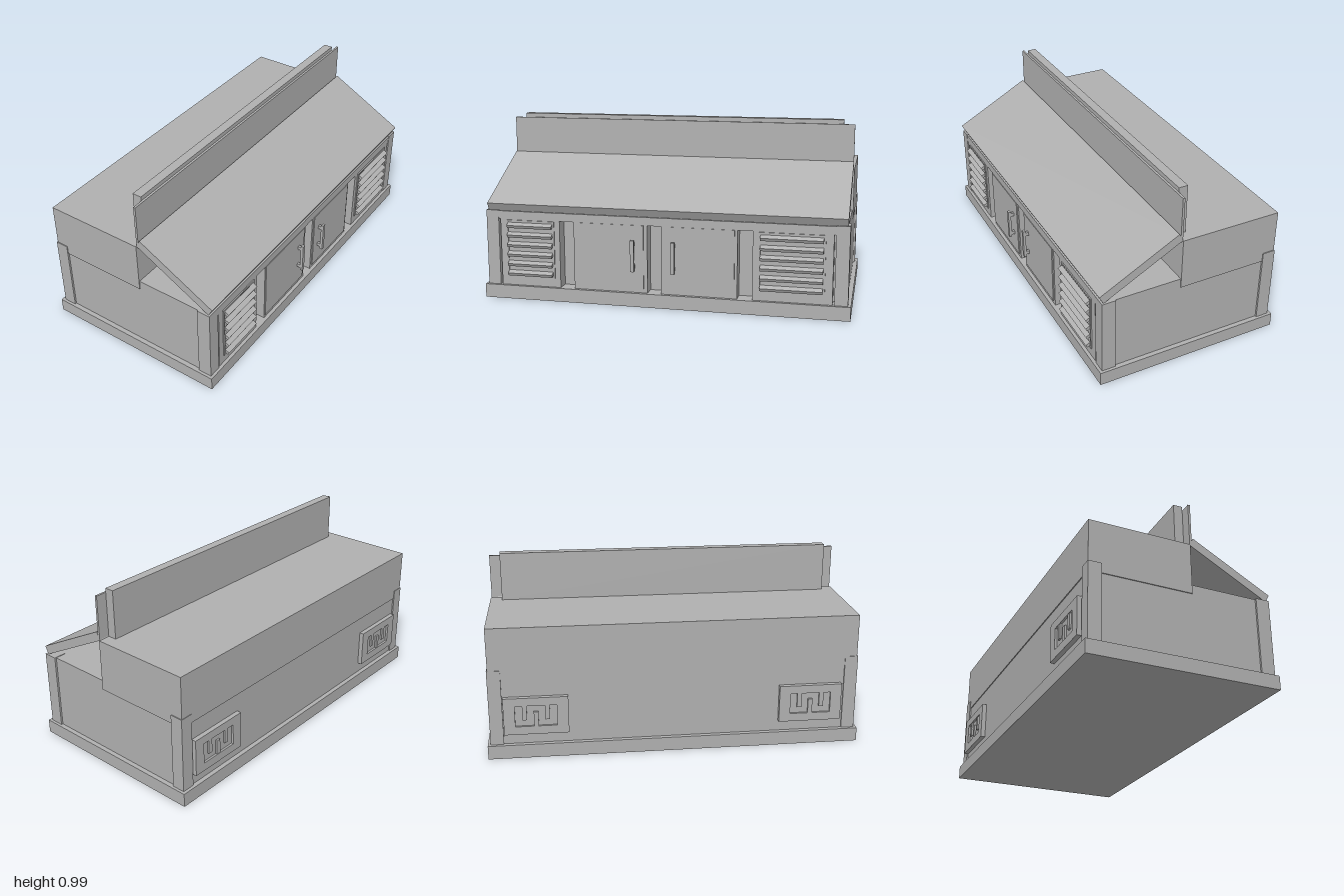
import * as THREE from 'three';

export function createModel() {
  const root = new THREE.Group();
  const grey = new THREE.MeshStandardMaterial({ color: 0xb0b0b0 });
  grey.name = 'plain grey';

  // Box given by its limits on each axis
  function box(name, x0, x1, y0, y1, z0, z1, parent = root) {
    const mesh = new THREE.Mesh(new THREE.BoxGeometry(x1 - x0, y1 - y0, z1 - z0), grey);
    mesh.position.set((x0 + x1) / 2, (y0 + y1) / 2, (z0 + z1) / 2);
    mesh.name = name;
    parent.add(mesh);
    return mesh;
  }
  function group(name) {
    const g = new THREE.Group();
    g.name = name;
    root.add(g);
    return g;
  }

  // Plinth, body and rear housing
  box('base', -0.525, 0.505, 0, 0.075, -1, 1);
  box('body', -0.5, 0.415, 0.075, 0.49, -0.975, 0.975);
  box('rearHousing', -0.505, 0.05, 0.44, 0.72, -0.98, 0.98);

  // Upright back board with a thinner panel in front
  box('backBoard', 0, 0.05, 0.72, 0.985, -0.915, 0.915);
  box('frontPanel', 0.05, 0.062, 0.72, 0.962, -0.975, 0.975);

  // Sloping lid
  const profile = new THREE.Shape([[0.048, 0.72], [0.478, 0.49], [0.5, 0.532], [0.07, 0.762]]
    .map(([x, y]) => new THREE.Vector2(x, y)));
  const lid = new THREE.Mesh(
    new THREE.ExtrudeGeometry(profile, { depth: 1.95, bevelEnabled: false }), grey);
  lid.position.z = -0.975;
  lid.name = 'slopingLid';
  root.add(lid);

  // Corner posts
  for (const s of [-1, 1]) {
    const [a, b] = s > 0 ? [0.915, 0.985] : [-0.985, -0.915];
    box('frontPost', 0.415, 0.49, 0.075, 0.493, a, b);
    box('rearPost', -0.508, -0.437, 0.075, 0.49, a, b);
  }

  // Front wall: header and blocks, leaving tall slots between them
  box('header', 0.415, 0.488, 0.445, 0.49, -0.915, 0.915);
  for (const [a, b] of [[0.565, 0.905], [-0.905, -0.49]]) {
    box('grillePanel', 0.415, 0.487, 0.075, 0.445, a, b);
  }
  for (const [a, b] of [[0.075, 0.485], [-0.41, 0]]) {
    box('doorFrame', 0.415, 0.485, 0.075, 0.445, a, b);
  }

  // Doors with bar handles
  for (const [a, b, h] of [[0.095, 0.48, 0.15], [-0.395, -0.015, -0.07]]) {
    const door = group('door');
    box('doorLeaf', 0.485, 0.491, 0.098, 0.445, a, b, door);
    box('handleBar', 0.51, 0.525, 0.197, 0.368, h - 0.01, h + 0.01, door);
    for (const y of [0.21, 0.335]) {
      box('handleMount', 0.49, 0.512, y, y + 0.02, h - 0.008, h + 0.008, door);
    }
  }

  // Louvred grilles with tilted slats
  for (const [a, b] of [[0.605, 0.86], [-0.855, -0.53]]) {
    const grille = group('grille');
    box('grilleRimTop', 0.487, 0.493, 0.432, 0.442, a - 0.01, b + 0.01, grille);
    box('grilleRimBottom', 0.487, 0.493, 0.125, 0.135, a - 0.01, b + 0.01, grille);
    for (const z of [a - 0.01, b]) {
      box('grilleRimSide', 0.487, 0.493, 0.135, 0.432, z, z + 0.01, grille);
    }
    for (let i = 0; i < 6; i++) {
      const y = 0.147 + i * 0.0535;
      const slat = box('slat', 0.486, 0.514, y - 0.009, y + 0.009, a, b, grille);
      slat.rotation.z = -0.49;
    }
  }

  // Rear sockets: plate, raised rim and staggered bars inside
  for (const c of [-0.74, 0.73]) {
    const vent = group('rearSocket');
    box('socketPlate', -0.513, -0.5, 0.135, 0.34, c - 0.17, c + 0.17, vent);
    box('rimTop', -0.525, -0.512, 0.295, 0.34, c - 0.17, c + 0.17, vent);
    box('rimBottom', -0.525, -0.512, 0.135, 0.18, c - 0.17, c + 0.17, vent);
    box('rimSide', -0.525, -0.512, 0.18, 0.295, c - 0.17, c - 0.11, vent);
    box('rimSide', -0.525, -0.512, 0.18, 0.295, c + 0.11, c + 0.17, vent);
    [-0.06, 0, 0.06].forEach((dz, i) => {
      const y = i === 1 ? 0.18 : 0.215;
      box('socketBar', -0.523, -0.512, y, y + 0.08, c + dz - 0.012, c + dz + 0.012, vent);
    });
  }

  return root;
}
